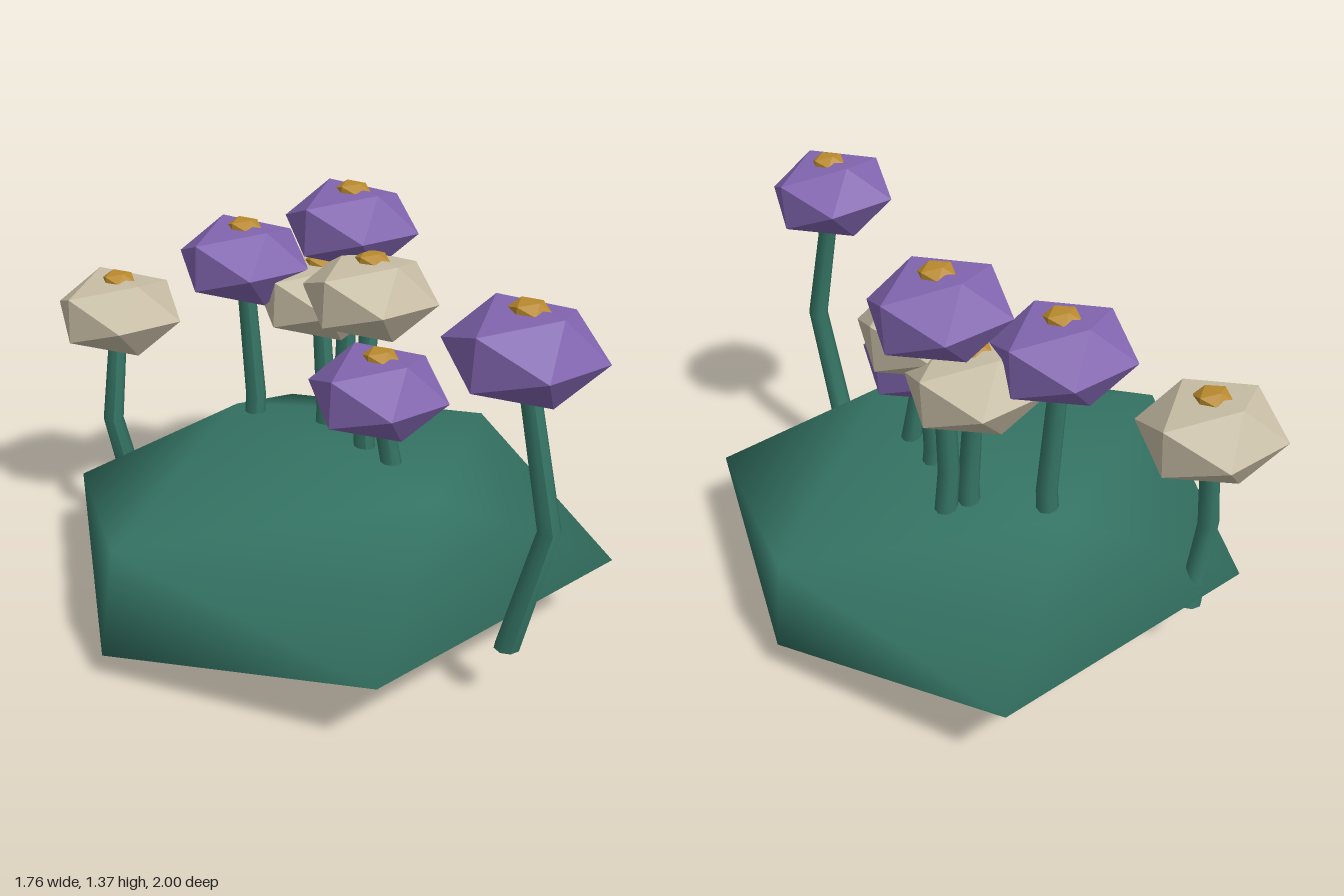
import * as THREE from 'three';
import { mergeVertices } from 'three/addons/utils/BufferGeometryUtils.js';
import { ConvexGeometry } from 'three/addons/geometries/ConvexGeometry.js';

const mat = (name, color, flat) => {
  const m = new THREE.MeshStandardMaterial({ color });
  m.name = name;
  m.flatShading = flat;
  return m;
};

// Icosahedron with its poles on z, so that an edge lies on top
function icoPoints(r, ry) {
  const pts = [new THREE.Vector3(0, 0, r), new THREE.Vector3(0, 0, -r)];
  for (let i = 0; i < 5; i++) {
    const a = (i * Math.PI * 2) / 5;
    const x = 0.894 * Math.cos(a), y = 0.894 * Math.sin(a);
    pts.push(new THREE.Vector3(x * r, y * ry, 0.447 * r));
    pts.push(new THREE.Vector3(-x * r, y * ry, -0.447 * r));
  }
  return pts;
}

// Stem: a tapered cylinder whose three rings move to base, knee and top
function stemGeometry(base, knee, top) {
  const g = new THREE.CylinderGeometry(0.03, 0.041, 1, 8, 2);
  const path = [base, knee, top];
  const p = g.attributes.position;
  for (let i = 0; i < p.count; i++) {
    const c = path[Math.round((p.getY(i) + 0.5) * 2)];
    p.setXYZ(i, p.getX(i) + c[0], c[1], p.getZ(i) + c[2]);
  }
  g.computeVertexNormals();
  return g;
}

export function createModel() {
  const model = new THREE.Group();
  const green = mat('leafGreen', 0x357565, false);
  const purple = mat('petalPurple', 0x8265b0, true);
  const cream = mat('petalCream', 0xc8bea6, true);
  const gold = mat('centreGold', 0xb98a2e, true);

  const add = (parent, name, geometry, material) => {
    const m = new THREE.Mesh(geometry, material);
    m.name = name;
    parent.add(m);
    return m;
  };

  // Smooth, slightly uneven mound
  const moundPoints = [
    [0, 0.285, 1], [0, 0.285, -1],
    [0.88, 0.28, 0.43], [0.28, 0.555, 0.44], [-0.72, 0.455, 0.44], [-0.775, 0.1, 0.47], [0.28, 0.005, 0.44],
    [-0.84, 0.28, -0.42], [-0.27, 0.535, -0.4], [0.65, 0.425, -0.42], [0.675, 0.12, -0.44], [-0.27, 0.015, -0.45],
  ].map((p) => new THREE.Vector3(...p));
  let mound = new ConvexGeometry(moundPoints);
  mound.deleteAttribute('normal');
  mound = mergeVertices(mound, 0.001);
  mound.computeVertexNormals();
  add(model, 'mound', mound, green);

  // Flowers: head position, knee of the stem, petal colour
  const flowers = [
    [[-0.67, 0.885, -0.48], [-0.715, 0.5, -0.42], cream],
    [[-0.235, 1.1, -0.345], [-0.205, 0.6, -0.335], purple],
    [[0.125, 1.23, -0.28], [0.1, 0.65, -0.265], purple],
    [[0.02, 0.98, -0.29], [0.035, 0.57, -0.24], cream],
    [[0.155, 1.055, -0.07], [0.13, 0.57, -0.01], cream],
    [[0.14, 0.82, 0.185], [0.2, 0.53, 0.125], purple],
    [[0.435, 1.18, 0.755], [0.515, 0.66, 0.845], purple],
  ];
  const headGeometry = new ConvexGeometry(icoPoints(0.235, 0.15));
  const centreGeometry = new ConvexGeometry(icoPoints(0.062, 0.034));
  for (const [head, knee, petal] of flowers) {
    const flower = new THREE.Group();
    flower.name = 'flower';
    model.add(flower);
    const base = [head[0] + 0.005, 0.22, head[2] + 0.01];
    add(flower, 'stem', stemGeometry(base, knee, head), green);
    const bloom = new THREE.Group();
    bloom.name = 'bloom';
    bloom.position.set(...head);
    bloom.rotation.z = -0.05;
    flower.add(bloom);
    add(bloom, 'petals', headGeometry, petal);
    add(bloom, 'flowerCentre', centreGeometry, gold).position.y = 0.117;
  }
  return model;
}
